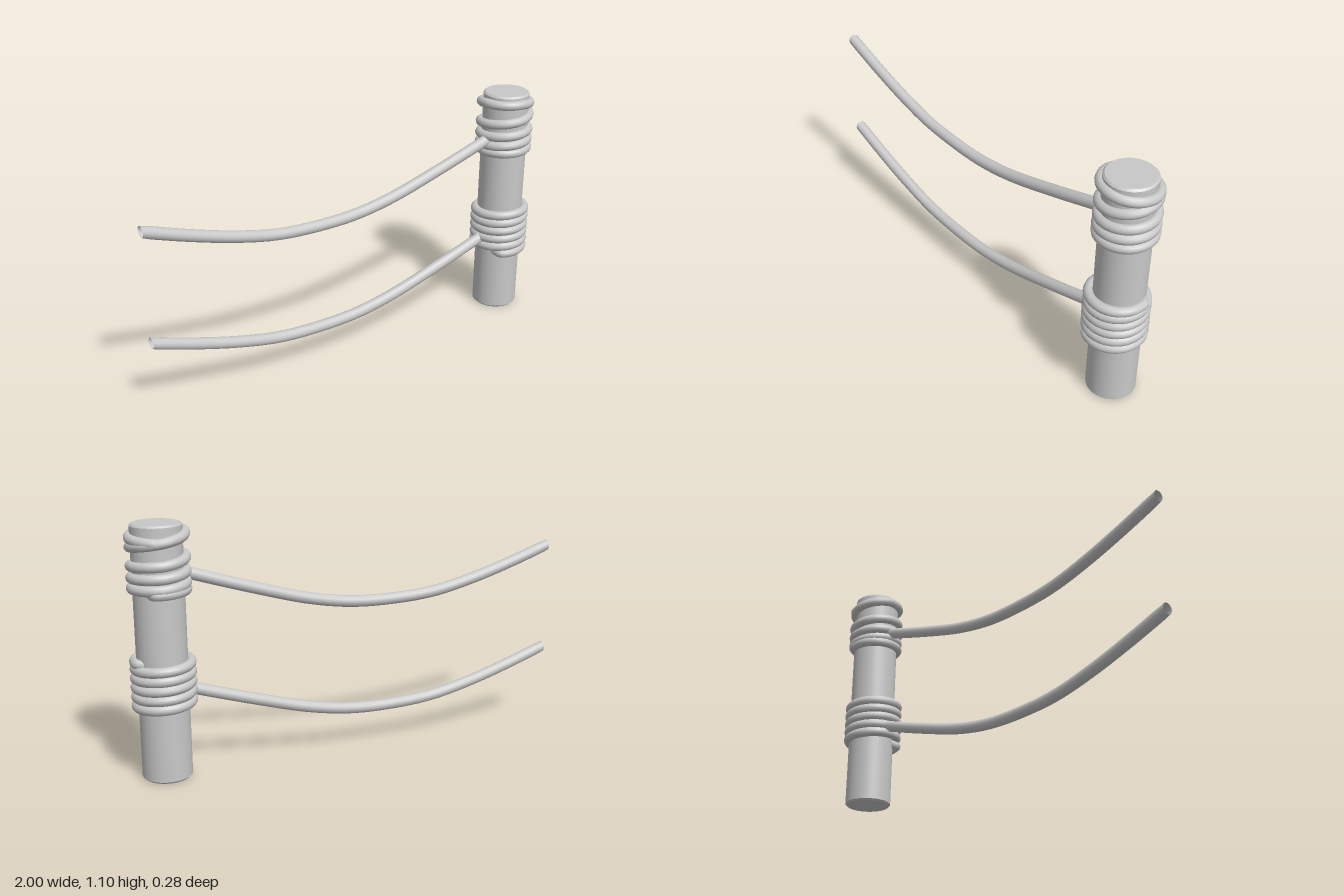
import * as THREE from 'three';
import { toCreasedNormals } from 'three/addons/utils/BufferGeometryUtils.js';

const POST_X = 0.862, POST_Z = -0.003, POST_R = 0.107, POST_H = 1.095;

export function createModel() {
  const group = new THREE.Group();
  const grey = new THREE.MeshStandardMaterial({ color: 0xc8c8c8, side: THREE.DoubleSide });
  grey.name = 'grey';

  const add = (name, geometry) => {
    const mesh = new THREE.Mesh(geometry, grey);
    mesh.name = name;
    group.add(mesh);
    return mesh;
  };

  // Round post with small bevels at both ends
  const b = 0.008;
  const profile = [
    [0, 0], [POST_R - b, 0], [POST_R, b],
    [POST_R, POST_H - b], [POST_R - b, POST_H], [0, POST_H],
  ].map(([r, y]) => new THREE.Vector2(r, y));
  add('post', toCreasedNormals(new THREE.LatheGeometry(profile, 40), 0.6))
    .position.set(POST_X, 0, POST_Z);

  // Sagging ropes, open at the free end and sunk into the coil at the post
  const sag = [
    [-1, 0.862], [-0.8, 0.794], [-0.6, 0.735], [-0.4, 0.692], [-0.2, 0.678],
    [0, 0.683], [0.2, 0.716], [0.45, 0.786], [0.73, 0.874], [0.79, 0.893],
  ];
  const rope = (name, drop) => {
    const curve = new THREE.CatmullRomCurve3(
      sag.map(([x, y]) => new THREE.Vector3(x, y - drop, 0.006)));
    const sides = 14;
    const geometry = new THREE.TubeGeometry(curve, 40, 0.026, sides, false);
    // The free end is cut upright
    for (let i = 0; i <= sides; i++) geometry.attributes.position.setX(i, -1);
    add(name, geometry);
  };
  rope('upperRope', 0);
  rope('lowerRope', 0.501);

  // Coil wound round the post: keys are [angle in degrees, height],
  // and both ends dive into the post
  const coil = (name, keys, cx, cz, radius) => {
    const first = keys[0][0], last = keys[keys.length - 1][0];
    const heightAt = (a) => {
      let i = 0;
      while (i < keys.length - 2 && a < keys[i + 1][0]) i++;
      const [a0, y0] = keys[i], [a1, y1] = keys[i + 1];
      return y0 + (y1 - y0) * (a - a0) / (a1 - a0);
    };
    const points = [];
    const steps = Math.round((first - last) / 18);
    for (let i = 0; i <= steps; i++) {
      const a = first + (last - first) * i / steps;
      const r = i === 0 || i === steps ? radius - 0.032 : radius;
      const t = THREE.MathUtils.degToRad(a);
      points.push(new THREE.Vector3(cx + r * Math.cos(t), heightAt(a), cz + r * Math.sin(t)));
    }
    const curve = new THREE.CatmullRomCurve3(points);
    add(name, new THREE.TubeGeometry(curve, steps * 3, 0.022, 12, false));
  };

  // Loose upper coil: spread out and tilted towards the top
  coil('upperCoil', [
    [310, 0.815], [90, 0.825], [-90, 0.835], [-270, 0.866], [-450, 0.882],
    [-630, 0.912], [-810, 0.934], [-990, 0.977], [-1170, 1.027],
    [-1260, 1.056], [-1350, 1.056], [-1440, 1.036], [-1530, 1.022],
  ], 0.86, -0.005, 0.112);

  // Tight, even lower coil
  coil('lowerCoil', [
    [140, 0.311], [90, 0.311], [-1710, 0.515], [-1835, 0.515],
  ], 0.858, 0.003, 0.117);

  return group;
}
